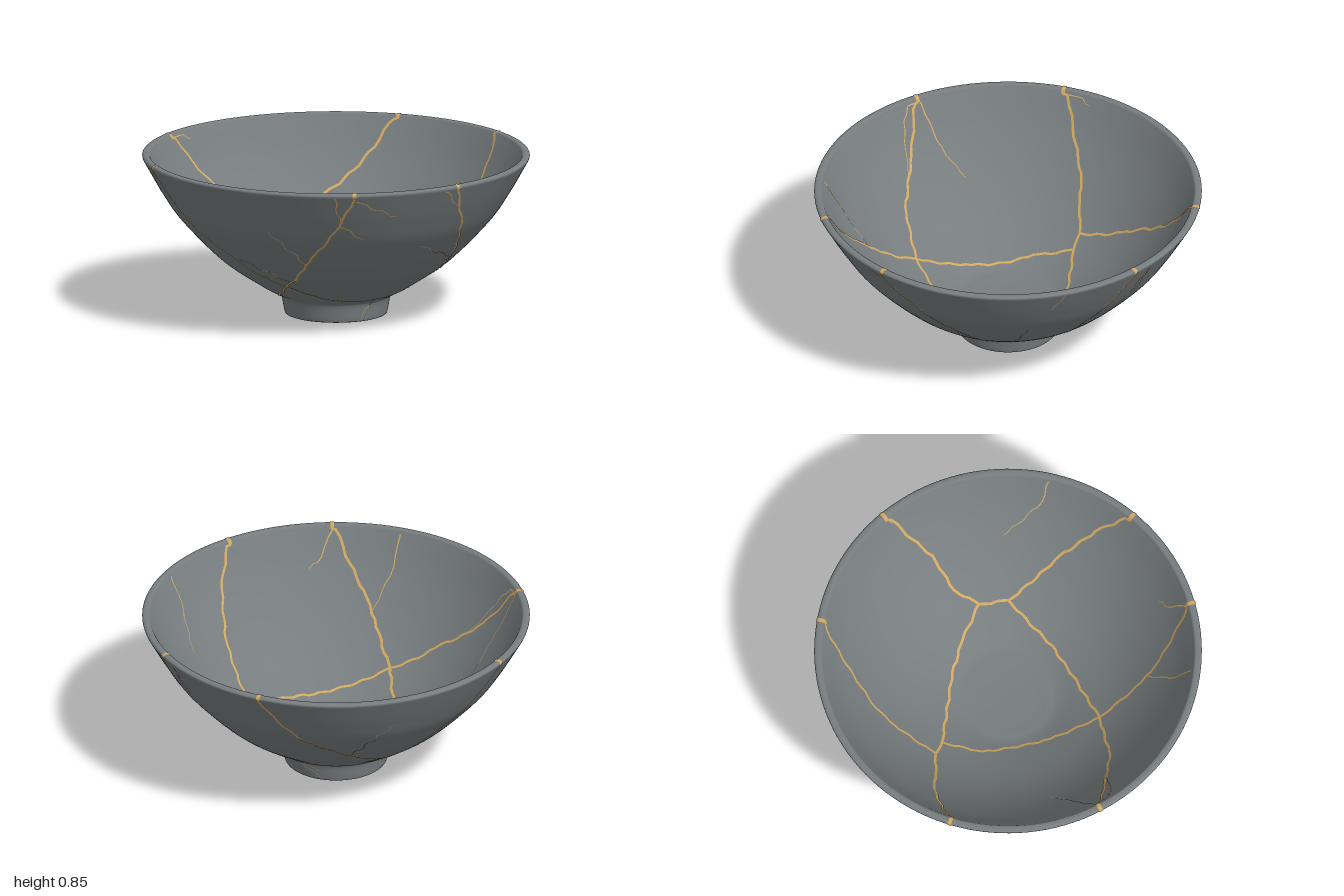
import * as THREE from 'three';
import { mergeGeometries } from 'three/addons/utils/BufferGeometryUtils.js';

const glaze = new THREE.MeshStandardMaterial({ color: 0x777d7f });
glaze.name = 'grey glaze';
const gold = new THREE.MeshStandardMaterial({ color: 0xd0a75f });
gold.name = 'gold seam';

const toPoints = (pts) => pts.map(([x, y]) => new THREE.Vector2(x, y));
const spline = (pts, n) => new THREE.SplineCurve(toPoints(pts)).getPoints(n);

// Profiles as [radius, height]
const base = toPoints([[0, 0.04], [0.19, 0.04], [0.212, 0.034], [0.222, 0.015], [0.232, 0.003]]);
const outer = spline([[0.243, 0], [0.258, 0.002], [0.266, 0.014], [0.28, 0.085], [0.295, 0.106],
  [0.33, 0.124], [0.4, 0.164], [0.6, 0.303], [0.8, 0.508], [0.9, 0.652], [0.997, 0.822]], 140);
const rim = spline([[0.997, 0.822], [0.999, 0.833], [0.99, 0.841], [0.975, 0.842],
  [0.963, 0.838], [0.953, 0.82]], 16);
const inner = spline([[0, 0.15], [0.1, 0.152], [0.2, 0.16], [0.3, 0.184], [0.53, 0.312],
  [0.7, 0.46], [0.85, 0.646], [0.953, 0.82]], 80);

// Point and normal on a profile where its 'x' (radius) or 'y' (height) reaches a value
function onProfile(profile, key, value, sign) {
  let i = 1;
  while (i < profile.length - 1 && profile[i][key] < value) i++;
  const a = profile[i - 1], b = profile[i];
  const k = THREE.MathUtils.clamp((value - a[key]) / (b[key] - a[key]), 0, 1);
  const d = b.clone().sub(a).normalize();
  return { r: a.x + (b.x - a.x) * k, y: a.y + (b.y - a.y) * k, nr: sign * d.y, ny: -sign * d.x };
}

function place(s, angle) {
  const sin = Math.sin(angle), cos = Math.cos(angle);
  return {
    p: new THREE.Vector3(s.r * sin, s.y, s.r * cos),
    n: new THREE.Vector3(s.nr * sin, s.ny, s.nr * cos),
  };
}

// Thin ribbon lying just above the surface, narrowing to the given share of its width
function ribbon(samples, width, endShare) {
  const pos = [], nor = [], idx = [], last = samples.length - 1;
  samples.forEach(({ p, n }, i) => {
    const t = samples[Math.min(i + 1, last)].p.clone().sub(samples[Math.max(i - 1, 0)].p);
    const w = (width / 2) * THREE.MathUtils.lerp(1, endShare, i / last);
    const side = n.clone().cross(t).normalize().multiplyScalar(w);
    const c = p.clone().addScaledVector(n, 0.003);
    pos.push(...c.clone().add(side).toArray(), ...c.clone().sub(side).toArray());
    nor.push(...n.toArray(), ...n.toArray());
    const a = 2 * i;
    if (i < last) idx.push(a, a + 1, a + 3, a, a + 3, a + 2);
  });
  const g = new THREE.BufferGeometry();
  g.setAttribute('position', new THREE.Float32BufferAttribute(pos, 3));
  g.setAttribute('normal', new THREE.Float32BufferAttribute(nor, 3));
  g.setIndex(idx);
  return g;
}

// Resample a path of pairs, with a slight wobble between its points
function resample(path, wobble) {
  const out = [path[0]];
  for (let i = 1; i < path.length; i++) {
    const [a, b] = [path[i - 1], path[i]];
    const dx = b[0] - a[0], dy = b[1] - a[1], len = Math.hypot(dx, dy);
    const n = Math.max(1, Math.round(len / 0.03));
    for (let j = 1; j <= n; j++) {
      const k = j / n, o = j < n ? wobble * Math.sin(j * 1.7 + i * 5.1) / len : 0;
      out.push([a[0] + dx * k - dy * o, a[1] + dy * k + dx * o]);
    }
  }
  return out;
}

// Seam given in plan as [x, z], laid on the inner or outer wall
const planSeam = (path, width, inside, endShare) => ribbon(resample(path, 0.005).map(([x, z]) => {
  const r = Math.hypot(x, z);
  const s = inside ? onProfile(inner, 'x', Math.min(r, 0.953), -1)
    : onProfile(outer, 'x', Math.min(r + 0.015, 0.997), 1);
  return place(s, Math.atan2(x, z));
}), width, endShare);

// Hairline on the outer wall: facing angle in degrees, then ends as across, height
const sideHair = ([facing, u0, y0, u1, y1]) => ribbon(resample([[u0, y0], [u1, y1]], 0.009).map(([u, y]) => {
  const s = onProfile(outer, 'y', Math.min(y, 0.822), 1);
  return place(s, facing * Math.PI / 180 + Math.asin(THREE.MathUtils.clamp(u / s.r, -1, 1)));
}), 0.0065, 0.4);

// Seam piece that wraps over the rim
const rimSeam = ([x, z]) => ribbon(rim.map((p, i) => {
  const d = rim[Math.min(i + 1, 16)].clone().sub(rim[Math.max(i - 1, 0)]).normalize();
  return place({ r: p.x, y: p.y, nr: d.y, ny: -d.x }, Math.atan2(x, z));
}), 0.02, 1);

// Junctions where the shards meet
const back = [-0.2, -0.49], backInner = [-0.14, -0.43];
const left = [0.48, 0.04], leftFront = [0.44, 0.19], front = [-0.34, 0.37];

// Seams from a junction out to the rim, and between junctions
const rimSeams = [
  [back, [-0.34, -0.55], [-0.44, -0.6], [-0.76, -0.65]],
  [back, [0, -0.64], [0.1, -0.7], [0.53, -0.83]],
  [left, [0.58, -0.06], [0.74, -0.11], [0.95, -0.31]],
  [leftFront, [0.5, 0.5], [0.49, 0.7], [0.43, 0.88]],
  [front, [-0.3, 0.62], [-0.26, 0.74], [-0.13, 0.97]],
  [front, [-0.6, 0.32], [-0.8, 0.2], [-0.98, 0.1]],
];
const linkSeams = [
  [back, backInner],
  [backInner, [0.22, -0.22], [0.36, -0.1], left],
  [backInner, [-0.25, -0.25], [-0.32, 0.1], front],
  [left, leftFront],
  [leftFront, [0.15, 0.31], [-0.05, 0.345], front],
];

const innerHairs = [
  [[-0.97, 0.09], [-0.84, 0.04], [-0.7, -0.06]],
  [[-0.97, 0.12], [-0.9, 0.2], [-0.72, 0.25]],
  [[-0.47, 0.84], [-0.42, 0.76], [-0.28, 0.65]],
  [[-0.13, 0.95], [-0.06, 0.88], [0.01, 0.85]],
  [[0.8, 0.58], [0.73, 0.5], [0.7, 0.27]],
  [[0.94, -0.3], [0.89, -0.27]],
  [[-0.75, -0.65], [-0.6, -0.72]],
];

const outerHairs = [
  // front
  [0, -0.24, 0.84, -0.18, 0.65],
  [0, -0.18, 0.65, -0.05, 0.57],
  [0, -0.12, 0.8, 0.1, 0.7],
  [0, -0.3, 0.4, -0.52, 0.6],
  [0, -0.35, 0.28, -0.66, 0.42],
  [0, 0.36, 0.83, 0.45, 0.72],
  [0, 0.51, 0.37, 0.27, 0.5],
  [0, 0.13, 0.14, 0.07, 0.01],
  // right side
  [90, 0.41, 0.83, 0.33, 0.5],
  [90, -0.11, 0.83, -0.15, 0.69],
  [90, -0.2, 0.25, -0.22, 0.5],
  [90, -0.25, 0.22, -0.52, 0.4],
  [90, 0.14, 0.17, 0.24, 0.02],
  // back and left side
  [140, -0.46, 0.4, 0, 0.35],
  [140, 0.42, 0.38, 0.7, 0.65],
  [140, -0.44, 0.82, -0.42, 0.54],
  [140, -0.2, 0.14, 0.12, 0.2],
  [140, -0.1, 0.13, 0.06, 0.06],
  [270, 0.1, 0.82, -0.1, 0.62],
];

export function createModel() {
  const model = new THREE.Group();
  const add = (name, geometry, material) => {
    const mesh = new THREE.Mesh(geometry, material);
    mesh.name = name;
    model.add(mesh);
  };

  // Bowl with foot ring, turned from one closed profile
  const profile = [...base, ...outer, ...rim.slice(1), ...inner.slice(0, -1).reverse()];
  add('bowl', new THREE.LatheGeometry(profile, 128), glaze);

  // Gold-filled seams and hairlines
  const seams = [...rimSeams, ...linkSeams];
  add('innerSeams', mergeGeometries(seams.map((s) => planSeam(s, 0.014, true, 1))), gold);
  add('outerSeams', mergeGeometries(seams.map((s) => planSeam(s, 0.012, false, 1))), gold);
  add('rimSeams', mergeGeometries(rimSeams.map((s) => rimSeam(s.at(-1)))), gold);
  add('innerHairlines', mergeGeometries(innerHairs.map((h) => planSeam(h, 0.0075, true, 0.4))), gold);
  add('outerHairlines', mergeGeometries(outerHairs.map(sideHair)), gold);
  return model;
}
